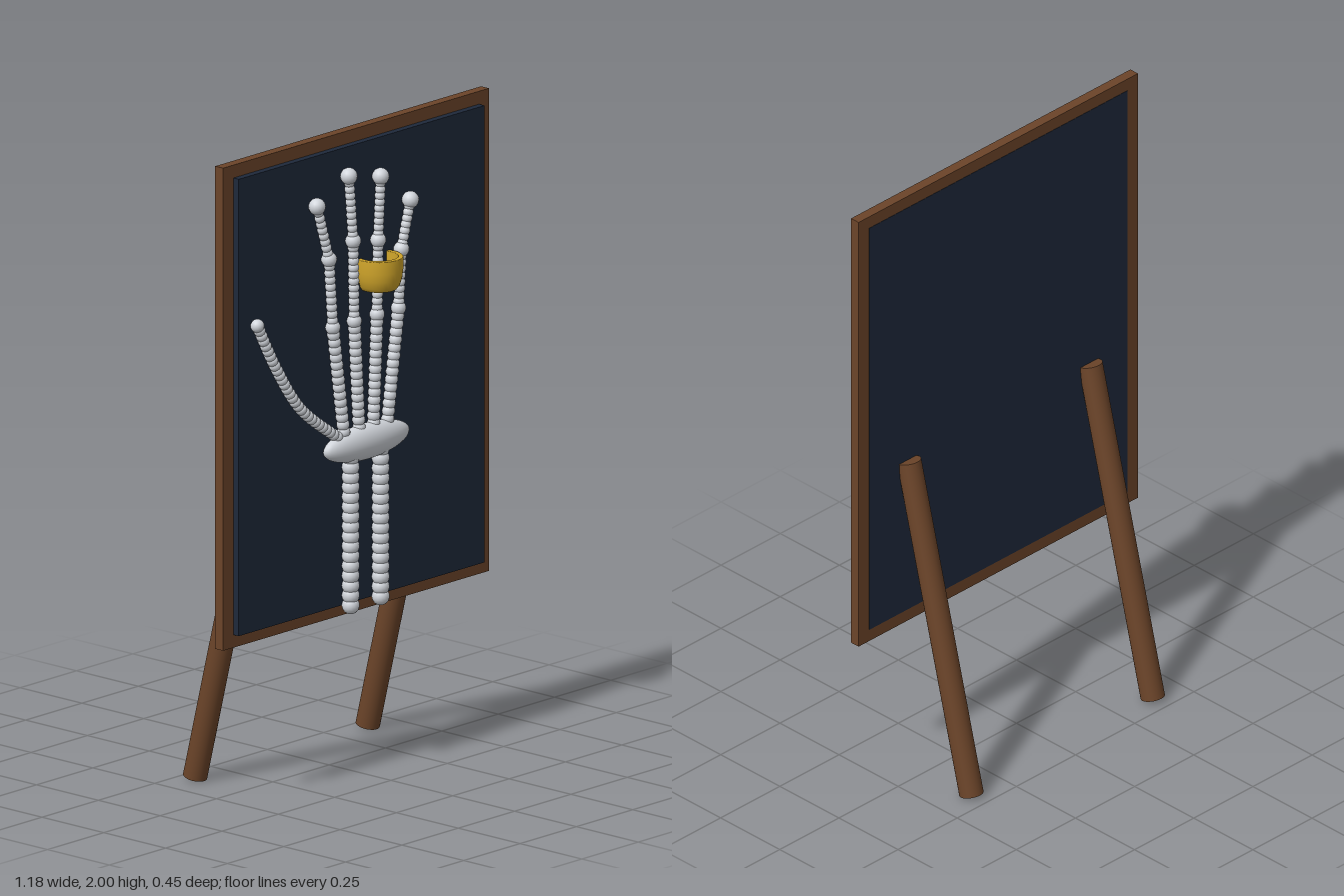
import * as THREE from 'three';
import { mergeGeometries } from 'three/addons/utils/BufferGeometryUtils.js';

const material = (name, color) => {
  const m = new THREE.MeshStandardMaterial({ color });
  m.name = name;
  return m;
};

const HAND_Z = 0.15;

export function createModel() {
  const wood = material('wood', 0x6b4429);
  const slate = material('slate', 0x1e293b);
  const bone = material('bone', 0xd1d5db);
  const gold = material('gold', 0xd0a52a);

  const model = new THREE.Group();
  model.name = 'displayBoard';
  const add = (name, geometry, mat, parent = model) => {
    const mesh = new THREE.Mesh(geometry, mat);
    mesh.name = name;
    parent.add(mesh);
    return mesh;
  };

  // Backing frame and the slate panel set through it
  add('frame', new THREE.BoxGeometry(1.18, 1.5, 0.032), wood).position.set(0, 1.25, 0.093);
  add('panel', new THREE.BoxGeometry(1.09, 1.42, 0.055), slate).position.set(0, 1.25, 0.1035);

  // Two rear legs leaning back
  const foot = new THREE.Vector3(0, 0.009, -0.193);
  const top = new THREE.Vector3(0, 1.07, 0.071);
  const axis = top.clone().sub(foot);
  for (const side of [-1, 1]) {
    const leg = add(side > 0 ? 'leftLeg' : 'rightLeg',
      new THREE.CylinderGeometry(0.037, 0.037, axis.length(), 24), wood);
    leg.position.copy(foot).add(top).multiplyScalar(0.5);
    leg.position.x = side * 0.383;
    leg.quaternion.setFromUnitVectors(new THREE.Vector3(0, 1, 0), axis.clone().normalize());
  }

  // Skeleton hand made of overlapping beads
  const hand = new THREE.Group();
  hand.name = 'hand';
  model.add(hand);
  const ball = (x, y, r) => new THREE.SphereGeometry(r, 16, 12).translate(x, y, HAND_Z);
  const beads = (curve, radius, spacing) => {
    const count = Math.round(curve.getLength() / spacing);
    return curve.getSpacedPoints(count).map(p => ball(p.x, p.y, radius));
  };
  const line = (a, b) => new THREE.LineCurve(new THREE.Vector2(...a), new THREE.Vector2(...b));

  // Forearm bones
  for (const [name, x] of [['radius', -0.069], ['ulna', 0.064]]) {
    add(name, mergeGeometries(beads(line([x, 0.54], [x, 1.0]), 0.027, 0.031)), bone, hand);
  }

  // Wrist
  const wrist = add('wrist', new THREE.SphereGeometry(1, 32, 20), bone, hand);
  wrist.scale.set(0.186, 0.055, 0.042);
  wrist.position.set(0, 1.036, HAND_Z);

  // Fingers: base, knuckle, middle joint, tip
  const fingers = {
    indexFinger: [[-0.1, 1.085], [-0.148, 1.42], [-0.165, 1.635], [-0.218, 1.81]],
    middleFinger: [[-0.032, 1.085], [-0.053, 1.42], [-0.058, 1.67], [-0.077, 1.875]],
    ringFinger: [[0.032, 1.085], [0.048, 1.42], [0.053, 1.65], [0.064, 1.845]],
    littleFinger: [[0.095, 1.085], [0.143, 1.42], [0.156, 1.6], [0.196, 1.745]],
  };
  for (const [name, p] of Object.entries(fingers)) {
    const parts = [
      ...beads(line(p[0], p[1]), 0.02, 0.024),
      ...beads(line(p[1], p[2]), 0.017, 0.021),
      ...beads(line(p[2], p[3]), 0.016, 0.02),
      ball(...p[1], 0.023), ball(...p[2], 0.024), ball(...p[3], 0.026),
    ];
    add(name, mergeGeometries(parts), bone, hand);
  }

  // Thumb
  const thumbPath = new THREE.SplineCurve([[-0.13, 1.075], [-0.29, 1.195], [-0.4, 1.345], [-0.483, 1.495]]
    .map(p => new THREE.Vector2(...p)));
  add('thumb', mergeGeometries([...beads(thumbPath, 0.018, 0.02), ball(-0.483, 1.495, 0.021)]), bone, hand);

  // Flared gold ring with a hollow middle
  const profile = [[0.042, 1.5], [0.055, 1.5], [0.064, 1.512], [0.071, 1.535], [0.074, 1.56], [0.074, 1.598],
    [0.072, 1.6], [0.06, 1.6], [0.059, 1.598], [0.059, 1.56], [0.055, 1.53], [0.042, 1.5]]
    .map(p => new THREE.Vector2(...p));
  add('ring', new THREE.LatheGeometry(profile, 40), gold, hand).position.set(0.055, 0, HAND_Z);

  return model;
}
